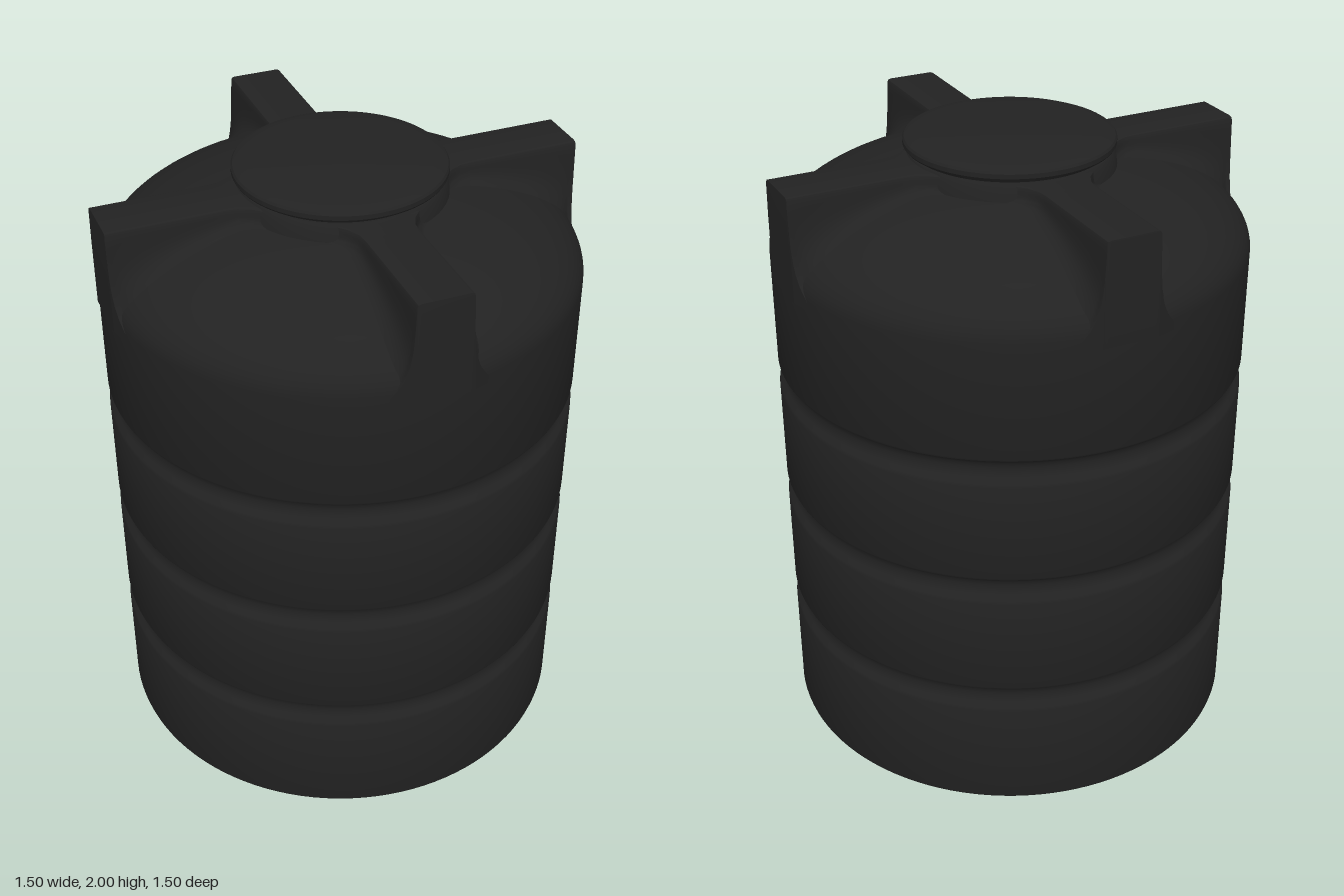
import * as THREE from 'three';
import { toCreasedNormals } from 'three/addons/utils/BufferGeometryUtils.js';

const R = 0.745;          // wall radius
const SHOULDER = 1.65;    // height where the dome starts
const DOME = 0.275;       // dome rise
const RIB_TOP = 1.945;
const RIB_END = 0.748;

const material = new THREE.MeshStandardMaterial({ color: 0x222222 });

const domeHeight = (r) => SHOULDER + DOME * Math.sqrt(Math.max(0, 1 - (r / R) ** 2));

function lathe(points, name, crease = 0.5) {
  const geometry = new THREE.LatheGeometry(points.map(([r, y]) => new THREE.Vector2(r, y)), 112);
  const mesh = new THREE.Mesh(toCreasedNormals(geometry, crease), material);
  mesh.name = name;
  return mesh;
}

// Wall with three moulded grooves, closed by an elliptical dome
function tankProfile() {
  const points = [[0, 0], [R - 0.012, 0], [R - 0.003, 0.004], [R, 0.014]];
  for (const y of [0.41, 0.825, 1.24]) {
    points.push(
      [R, y - 0.05], [R - 0.004, y - 0.04], [R - 0.016, y - 0.027], [R - 0.022, y - 0.013],
      [R - 0.024, y + 0.005], [R - 0.022, y + 0.02], [R - 0.013, y + 0.033], [R - 0.003, y + 0.039], [R, y + 0.046]
    );
  }
  for (let i = 0; i <= 24; i++) {
    const a = (i / 24) * Math.PI / 2;
    points.push([i === 24 ? 0 : R * Math.cos(a), SHOULDER + DOME * Math.sin(a)]);
  }
  return points;
}

// Half cross-section of a rib at distance z: flat top, drafted side, foot flaring into the dome
function ribSection(z, drop) {
  const top = RIB_TOP - drop;
  const height = top - domeHeight(z);
  const flare = 0.03 + 0.035 * Math.min(1, height / 0.15);
  const w = 0.085 + 0.035 * Math.max(0, 1 - (z - 0.3) / 0.08) ** 2;
  const footX = w + flare;
  const footY = domeHeight(Math.hypot(footX, z)) - 0.004;
  const half = [[0, top], [w - 0.012, top], [w - 0.003, top - 0.003], [w, top - 0.01]];
  for (let k = 1; k <= 8; k++) {
    const t = k / 8;
    half.push([w + flare * (0.2 * t + 0.8 * t ** 5), top - 0.01 + (footY - top + 0.01) * t]);
  }
  return half;
}

// Outer face of a rib: flat in the middle, running back to the round wall
const ribFace = (x) => RIB_END - Math.max(0, Math.abs(x) - 0.09) * 0.3;

function ribGeometry() {
  const rings = 24, start = 0.28;
  const positions = [], index = [];
  let count = 0;
  for (let i = 0; i <= rings + 1; i++) {
    const s = 1 - (1 - Math.min(i, rings) / rings) ** 2;
    const z = start + (RIB_END - start) * s;
    const half = ribSection(z, i >= rings ? 0.006 : 0);
    const section = [...half.slice(1).reverse().map(([x, y]) => [-x, y]), ...half];
    count = section.length;
    for (const [x, y] of section) {
      // the extra last ring closes the end down to the wall
      positions.push(x, i > rings ? SHOULDER - 0.03 : y, z - (RIB_END - ribFace(x)) * s);
    }
  }
  for (let i = 0; i <= rings; i++) {
    for (let j = 0; j < count - 1; j++) {
      const a = i * count + j, b = a + count;
      index.push(a, b, b + 1, a, b + 1, a + 1);
    }
  }
  const geometry = new THREE.BufferGeometry();
  geometry.setAttribute('position', new THREE.Float32BufferAttribute(positions, 3));
  geometry.setIndex(index);
  return toCreasedNormals(geometry, 0.7);
}

export function createModel() {
  const group = new THREE.Group();
  group.name = 'waterTank';

  group.add(lathe(tankProfile(), 'tankBody'));

  // Neck and lid
  group.add(lathe([[0.33, 1.88], [0.322, 1.935], [0.312, 1.95], [0, 1.95]], 'neck'));
  group.add(lathe([
    [0, 1.945], [0.3, 1.945], [0.308, 1.957], [0.321, 1.962], [0.325, 1.968],
    [0.325, 1.982], [0.32, 1.989], [0.305, 1.995], [0.28, 2], [0, 2]
  ], 'lid'));

  // Four ribs across the dome
  const rib = ribGeometry();
  ['frontRib', 'leftRib', 'backRib', 'rightRib'].forEach((name, i) => {
    const mesh = new THREE.Mesh(rib, material);
    mesh.name = name;
    mesh.rotation.y = i * Math.PI / 2;
    group.add(mesh);
  });

  return group;
}
